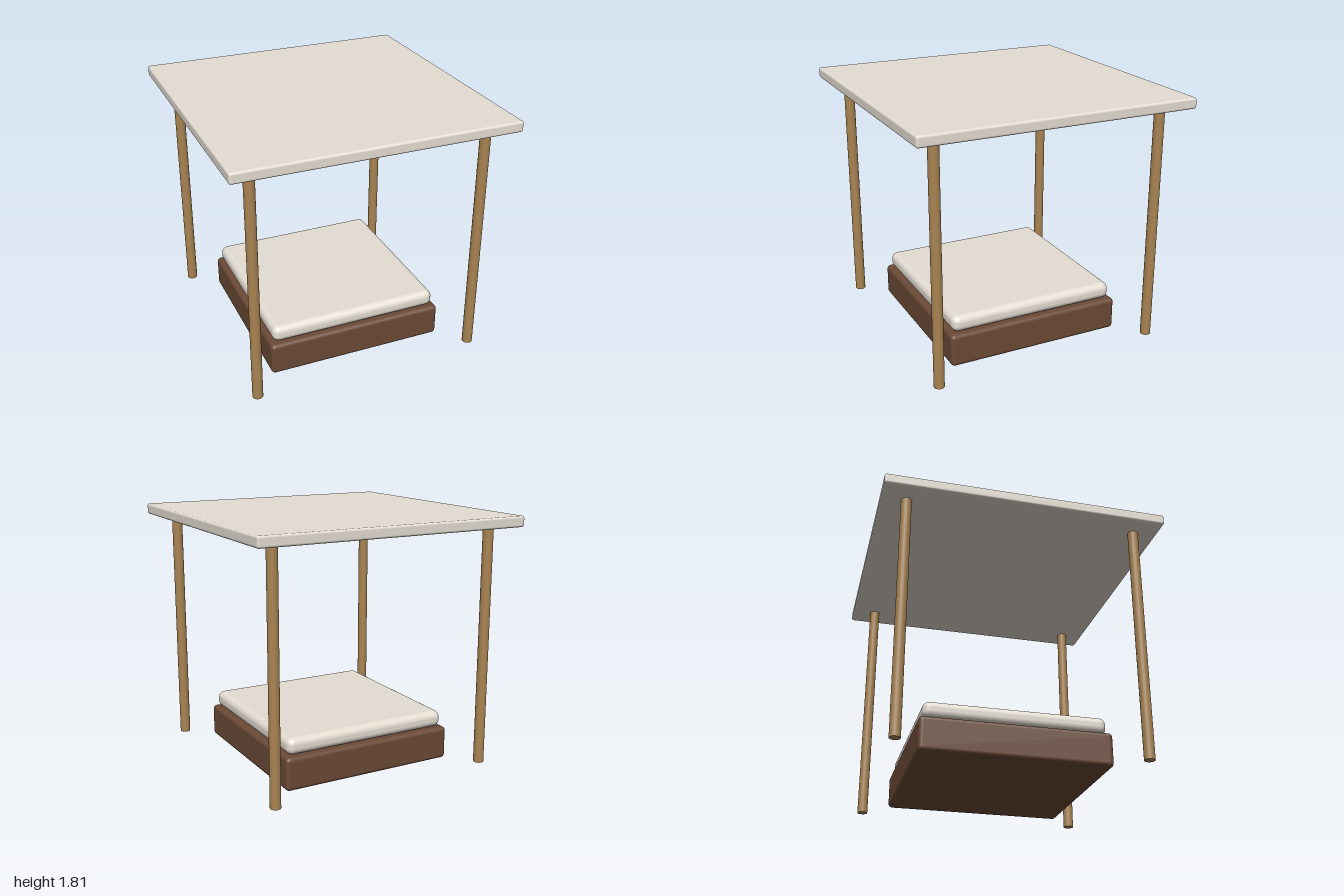
import * as THREE from 'three';
import { RoundedBoxGeometry } from 'three/addons/geometries/RoundedBoxGeometry.js';

const material = (color) => new THREE.MeshStandardMaterial({ color });

export function createModel() {
  const group = new THREE.Group();
  const fabric = material(0xe4ddd2);
  const bamboo = material(0xa98452);
  const darkWood = material(0x6b4a36);

  // Square slab with rounded edges, resting between two heights
  function slab(name, width, bottom, top, radius, mat) {
    const geometry = new RoundedBoxGeometry(width, top - bottom, width, 5, radius);
    const mesh = new THREE.Mesh(geometry, mat);
    mesh.name = name;
    mesh.position.y = (bottom + top) / 2;
    group.add(mesh);
  }

  slab('base', 1.31, 0, 0.24, 0.03, darkWood);
  slab('cushion', 1.254, 0.24, 0.36, 0.05, fabric);
  slab('canopy', 2, 1.73, 1.807, 0.016, fabric);

  // Four round corner posts
  const postGeometry = new THREE.CylinderGeometry(0.0375, 0.0375, 1.735, 24);
  for (const x of [-1, 1]) {
    for (const z of [-1, 1]) {
      const post = new THREE.Mesh(postGeometry, bamboo);
      post.name = (z > 0 ? 'front' : 'back') + (x > 0 ? 'Left' : 'Right') + 'Post';
      post.position.set(x * 0.826, 1.735 / 2, z * 0.826);
      group.add(post);
    }
  }

  return group;
}
